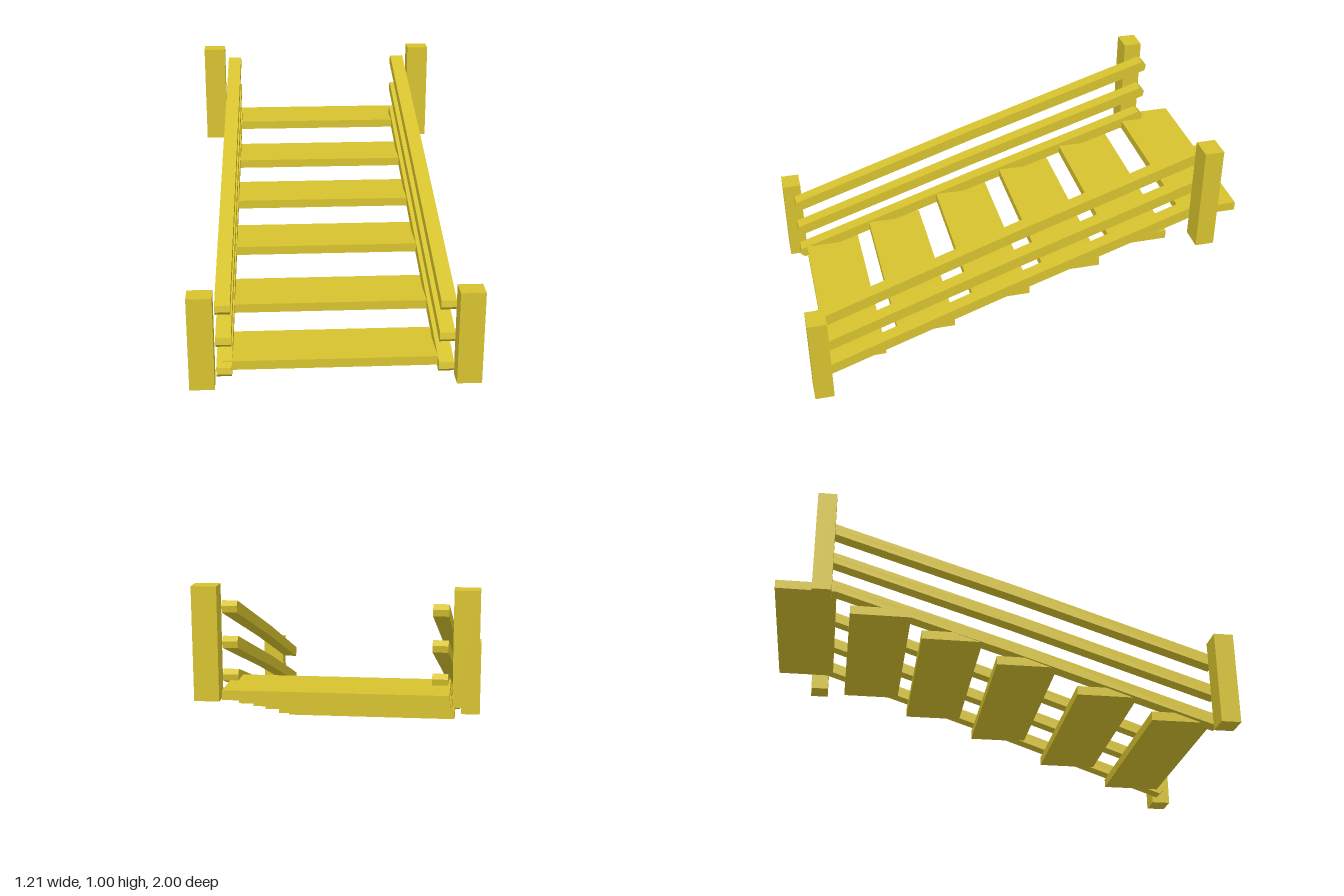
import * as THREE from 'three';

const wood = new THREE.MeshStandardMaterial({ color: 0xd6c22e, flatShading: true });

// Box given by its lower and upper limits on each axis
function board(name, [x0, x1], [y0, y1], [z0, z1]) {
  const mesh = new THREE.Mesh(new THREE.BoxGeometry(x1 - x0, y1 - y0, z1 - z0), wood);
  mesh.position.set((x0 + x1) / 2, (y0 + y1) / 2, (z0 + z1) / 2);
  mesh.name = name;
  return mesh;
}

// Sloping rail with blunt pointed ends, slightly bowed, leaning inward to the back
function rail(side, drop) {
  const half = 0.025, tip = 0.014, width = 0.064;
  const front = new THREE.Vector2(-0.94, 0.333 - drop);
  const back = new THREE.Vector2(0.83, 0.918 - drop);
  const mid = front.clone().lerp(back, 0.5);
  mid.y += 0.007;
  const along = back.clone().sub(front).normalize();
  const up = new THREE.Vector2(-along.y, along.x);
  const at = (p, a, u) => p.clone().addScaledVector(along, a).addScaledVector(up, u);
  const profile = new THREE.Shape([
    at(front, 0, -half), at(mid, 0, -half), at(back, 0, -half), at(back, tip, 0),
    at(back, 0, half), at(mid, 0, half), at(front, 0, half), at(front, -tip, 0),
  ]);
  const geo = new THREE.ExtrudeGeometry(profile, { depth: width, bevelEnabled: false });
  geo.translate(0, 0, -width / 2).rotateY(Math.PI / 2);
  const pos = geo.attributes.position;
  for (let i = 0; i < pos.count; i++) {
    pos.setX(i, pos.getX(i) + side * (0.4445 + 0.0198 * pos.getZ(i)));
  }
  geo.computeVertexNormals();
  return new THREE.Mesh(geo, wood);
}

export function createModel() {
  const model = new THREE.Group();
  model.name = 'staircase';

  // Treads: top height and front edge of each, from bottom to top
  const treads = [
    [0.085, 0.918], [0.186, 0.592], [0.308, 0.24],
    [0.41, -0.09], [0.509, -0.405], [0.612, -0.735],
  ];
  treads.forEach(([top, z], i) => {
    model.add(board(`tread${i + 1}`, [-0.47, 0.43], [top - 0.04, top], [z - 0.267, z]));
  });

  for (const side of [-1, 1]) {
    const label = side > 0 ? 'left' : 'right';
    const span = (a, b) => (side > 0 ? [a, b] : [-b, -a]);

    // Posts: short at the foot, raised at the head
    model.add(board(`${label}FrontPost`, span(0.501, 0.606), [0, 0.413], [0.914, 1]));
    model.add(board(`${label}BackPost`, span(0.479, 0.584), [0.52, 1], [-0.84, -0.756]));

    // Three parallel rails
    [0, 0.147, 0.285].forEach((drop, i) => {
      const mesh = rail(side, drop);
      mesh.name = `${label}${['Upper', 'Middle', 'Lower'][i]}Rail`;
      model.add(mesh);
    });
  }
  return model;
}
